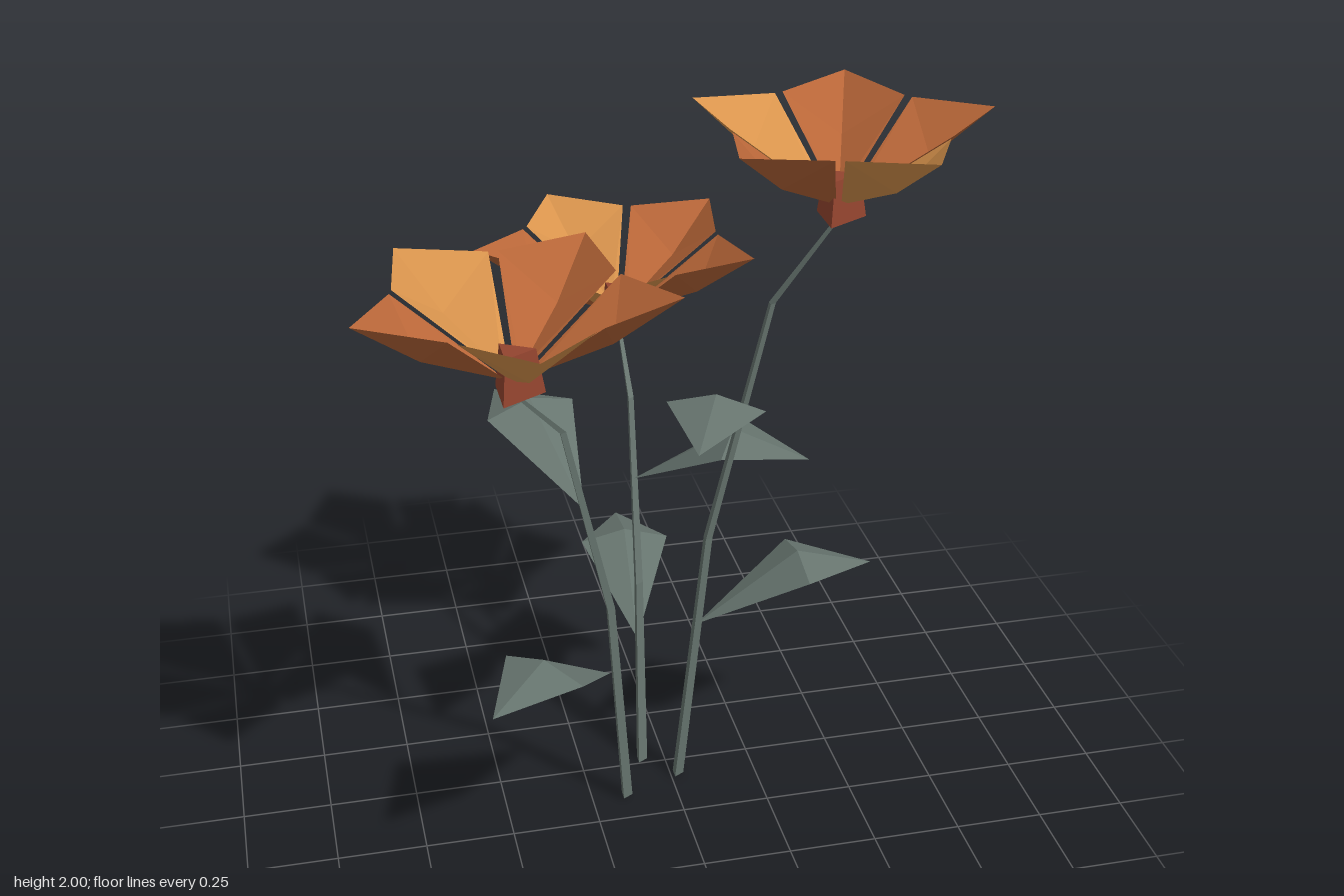
import * as THREE from 'three';

const mat = (name, color, side = THREE.FrontSide) =>
  new THREE.MeshStandardMaterial({ name, color, side, flatShading: true });

// Folded blade along +x; each section is [along, halfWidth, ridgeY, edgeY]
function bladeGeometry(sections) {
  const pos = [];
  const tri = (...pts) => pts.forEach((p) => pos.push(...p));
  const rows = sections.map(([x, w, ry, ey]) => ({
    w, ridge: [x, ry, 0], left: [x, ey, -w], right: [x, ey, w],
  }));
  for (let i = 0; i < rows.length - 1; i++) {
    const a = rows[i], b = rows[i + 1];
    if (b.w > 0) {
      tri(a.ridge, b.ridge, b.left);
      tri(a.ridge, b.right, b.ridge);
    }
    if (a.w > 0) {
      tri(a.ridge, b.left, a.left);
      tri(a.ridge, a.right, b.right);
    }
  }
  const g = new THREE.BufferGeometry();
  g.setAttribute('position', new THREE.Float32BufferAttribute(pos, 3));
  g.computeVertexNormals();
  return g;
}

// Three-sided tapering stem bent through four points
function stemGeometry(path) {
  const radii = [0.019, 0.015, 0.011, 0.007];
  const g = new THREE.CylinderGeometry(1, 1, 1, 3, 3, false, Math.PI / 2);
  const p = g.attributes.position;
  for (let i = 0; i < p.count; i++) {
    const k = Math.round((p.getY(i) + 0.5) * 3);
    const [x, y, z] = path[k];
    p.setXYZ(i, x + p.getX(i) * radii[k], y, z + p.getZ(i) * radii[k]);
  }
  g.computeVertexNormals();
  return g;
}

export function createModel() {
  const green = mat('greyGreen', 0x65736d);
  const leafGreen = mat('leafGreen', 0x66746e, THREE.DoubleSide);
  const ochre = mat('ochrePetal', 0xdc964e, THREE.DoubleSide);
  const rust = mat('rustPetal', 0xb86638, THREE.DoubleSide);
  const red = mat('redBrown', 0x93442f);

  const petalGeo = bladeGeometry([
    [0.04, 0.02, 0.055, 0.065], [0.245, 0.163, 0.148, 0.262], [0.416, 0, 0.275, 0.275],
  ]);
  const leafGeo = bladeGeometry([
    [0, 0, 0, 0], [0.295, 0.13, 0.205, 0.17], [0.515, 0, 0.14, 0.14],
  ]);
  const calyxGeo = new THREE.CylinderGeometry(0.056, 0.077, 0.12, 3, 1, false, Math.PI / 2);

  // Each plant: stem path (last point is the flower base), petal turn in degrees,
  // leaves as [base x, y, z, heading x, heading z]
  const plants = [
    {
      name: 'leftFlower', turn: 18,
      path: [[-0.15, 0, 0.143], [-0.2, 0.68, 0.19], [-0.34, 1.3, 0.307], [-0.475, 1.48, 0.432]],
      leaves: [[-0.275, 1.03, 0.24, -0.165, -0.5], [-0.2, 0.46, 0.18, -0.37, 0.34]],
    },
    {
      name: 'rightFlower', turn: 0,
      path: [[0.02, 0, 0.072], [0.105, 0.8, 0.072], [0.275, 1.5, 0.072], [0.45, 1.725, 0.07]],
      leaves: [[0.075, 0.52, 0.074, 1, 0], [0.18, 1.18, 0.08, -0.22, 0.47]],
    },
    {
      name: 'backFlower', turn: 35,
      path: [[-0.07, 0, -0.02], [-0.058, 0.57, -0.106], [-0.042, 1.09, -0.275], [-0.036, 1.233, -0.459]],
      leaves: [[-0.065, 0.39, -0.085, 0.04, -0.5], [-0.05, 0.867, -0.195, 0.447, 0.25]],
    },
  ];

  const model = new THREE.Group();
  model.name = 'flowers';
  for (const { name, turn, path, leaves } of plants) {
    const plant = new THREE.Group();
    plant.name = name;
    const add = (part, geo, material, parent = plant) => {
      const m = new THREE.Mesh(geo, material);
      m.name = part;
      parent.add(m);
      return m;
    };

    add('stem', stemGeometry(path), green);
    for (const [x, y, z, dx, dz] of leaves) {
      const leaf = add('leaf', leafGeo, leafGreen);
      leaf.position.set(x, y, z);
      leaf.rotation.y = -Math.atan2(dz, dx);
    }

    // Blossom: triangular calyx and five petals in alternating colours
    const blossom = new THREE.Group();
    blossom.name = 'blossom';
    blossom.position.set(...path[3]);
    plant.add(blossom);
    add('calyx', calyxGeo, red, blossom).position.y = 0.06;
    for (let i = 0; i < 5; i++) {
      const petal = add('petal', petalGeo, i % 2 ? ochre : rust, blossom);
      petal.rotation.y = -THREE.MathUtils.degToRad(turn + i * 72);
    }
    model.add(plant);
  }
  return model;
}
